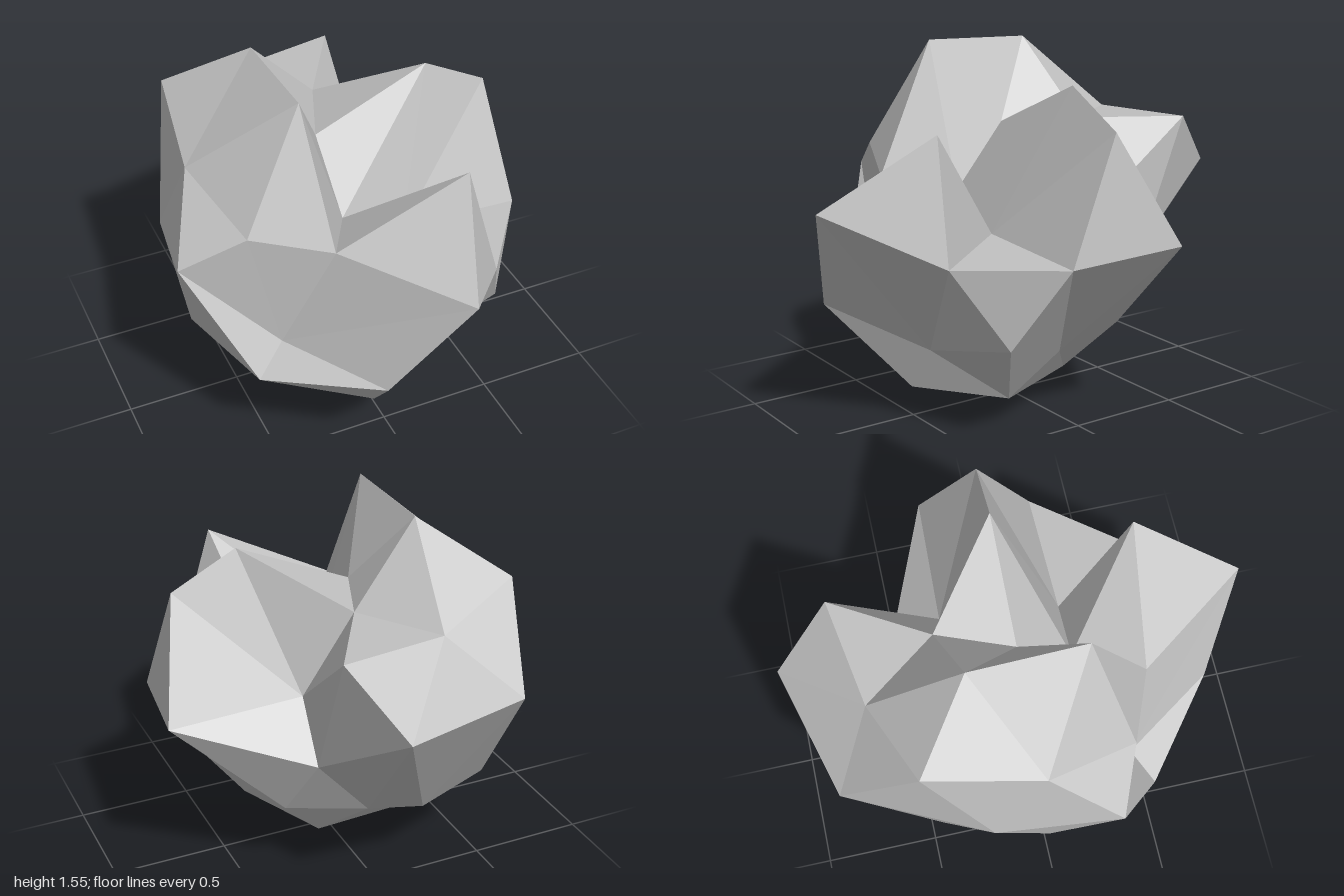
import * as THREE from 'three';

// Rings of a faceted boulder, bottom to top; each runs round from +x towards +z
const bottom = [-0.02, 0, -0.01];
const base = [[0.31, 0.11, 0.22], [-0.04, 0.11, 0.48], [-0.40, 0.11, -0.02], [-0.23, 0.11, -0.18], [0.13, 0.11, -0.20]];
const lower = [[0.58, 0.43, 0.40], [-0.15, 0.515, 0.83], [-0.69, 0.42, 0], [-0.22, 0.31, -0.50], [0.34, 0.35, -0.33]];
const lowerMid = [[0.08, 0.305, 0.46], [-0.57, 0.45, 0.50], [-0.53, 0.38, -0.45], [-0.02, 0.28, -0.38], [0.34, 0.28, -0.02]];
const waist = [
  [0.74, 0.77, 0.22], [0.45, 0.765, 0.60], [0.135, 0.98, 1.0], [-0.435, 0.545, 0.415], [-0.81, 0.93, 0.27],
  [-0.72, 0.78, -0.25], [-0.47, 0.94, -0.84], [0.11, 0.95, -1.0], [0.27, 0.63, -0.51], [0.81, 0.805, -0.27],
];
const upper = [[0.69, 1.275, -0.02], [0.315, 1.27, 0.56], [-0.55, 1.075, 0.37], [-0.585, 1.31, -0.51], [0.27, 1.20, -0.74]];
const upperMid = [[0.20, 0.80, 0.23], [-0.23, 1.0, 0.50], [-0.66, 1.20, -0.02], [-0.20, 1.19, -0.66], [0.24, 0.84, -0.29]];
const crown = [[0.41, 1.42, -0.02], [-0.075, 0.93, 0.22], [-0.265, 1.55, 0.23], [-0.27, 1.53, -0.26], [0.035, 1.20, -0.34]];
const top = [-0.09, 1.20, -0.02];

// Joins the rings into triangles, one fifth of the way round at a time
function boulderGeometry() {
  const positions = [];
  const tri = (a, b, c) => positions.push(...a, ...b, ...c);
  // Four small triangles from three corners and the points between them
  const quarter = (a, b, c, ab, bc, ca) => {
    tri(a, ab, ca);
    tri(ab, b, bc);
    tri(ca, bc, c);
    tri(ab, bc, ca);
  };
  for (let k = 0; k < 5; k++) {
    const n = (k + 1) % 5;
    const left = waist[2 * k], mid = waist[2 * k + 1], right = waist[2 * n];
    quarter(bottom, lower[k], lower[n], base[k], lowerMid[k], base[n]);
    quarter(lower[k], upper[n], lower[n], mid, right, lowerMid[k]);
    quarter(lower[k], upper[k], upper[n], left, upperMid[k], mid);
    quarter(upper[k], top, upper[n], crown[k], crown[n], upperMid[k]);
  }
  const geometry = new THREE.BufferGeometry();
  geometry.setAttribute('position', new THREE.Float32BufferAttribute(positions, 3));
  geometry.computeVertexNormals();
  return geometry;
}

export function createModel() {
  const stone = new THREE.MeshStandardMaterial({ color: 0xbfbfbf, flatShading: true });
  stone.name = 'grey stone';
  const boulder = new THREE.Mesh(boulderGeometry(), stone);
  boulder.name = 'boulder';
  const group = new THREE.Group();
  group.name = 'rock';
  group.add(boulder);
  return group;
}
